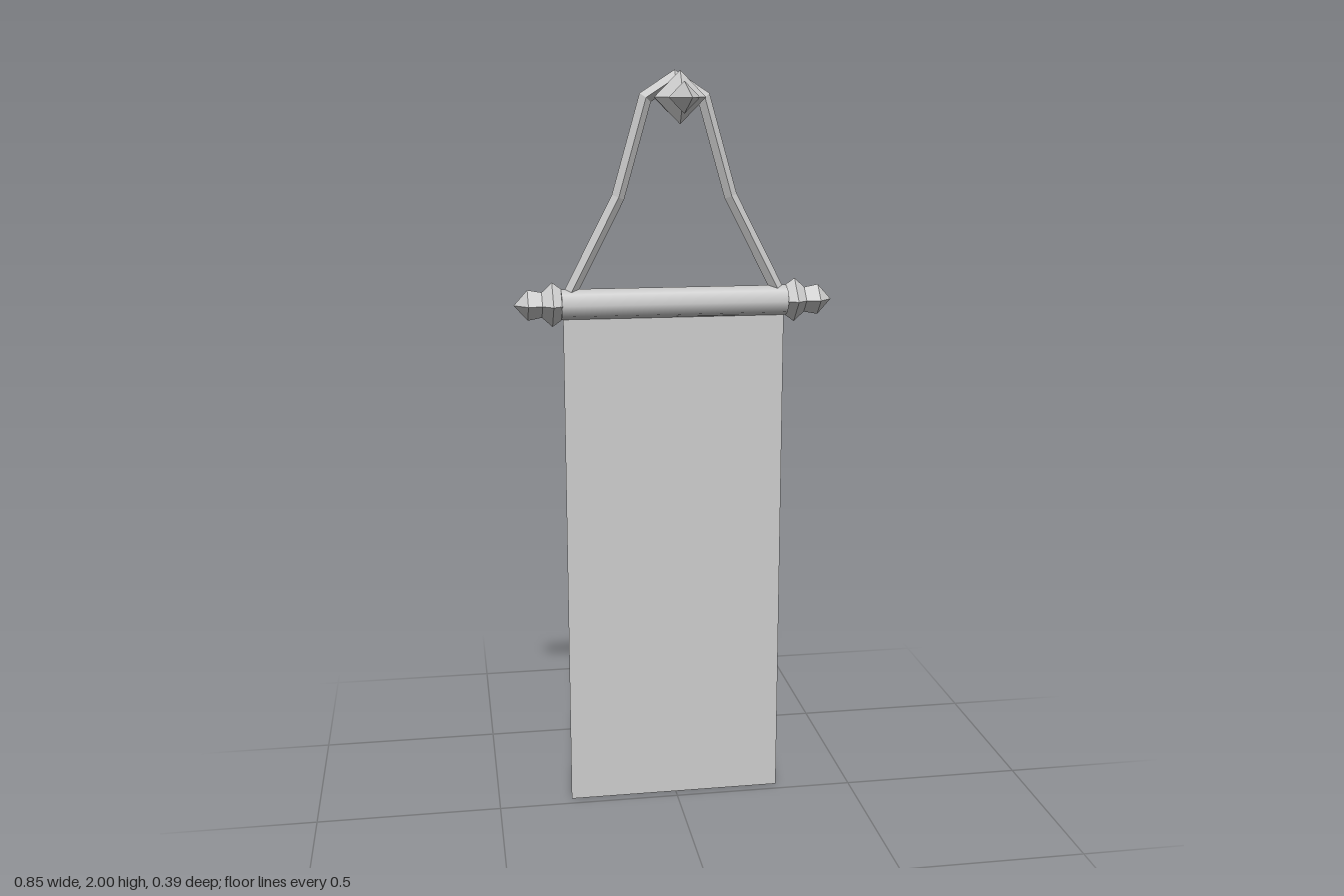
import * as THREE from 'three';

const flat = new THREE.MeshStandardMaterial({ color: 0xcccccc, flatShading: true });
const smooth = new THREE.MeshStandardMaterial({ color: 0xcccccc });
const cloth = new THREE.MeshStandardMaterial({ color: 0xcccccc, side: THREE.DoubleSide });

const ROD_Y = 1.405, ROD_Z = -0.028, MID_X = -0.003;

function part(name, geometry, material, x = 0, y = 0, z = 0) {
  const mesh = new THREE.Mesh(geometry, material);
  mesh.name = name;
  mesh.position.set(x, y, z);
  return mesh;
}

// Four-sided turned shape from [radius, height] pairs
function turned(profile) {
  return new THREE.LatheGeometry(profile.map(([r, h]) => new THREE.Vector2(r, h)), 4);
}

// Diamond-section cord with mitred joints along a path in the XY plane
function cordGeometry(path, r) {
  const pts = path.map(([x, y]) => new THREE.Vector2(x, y));
  const positions = [], index = [];
  pts.forEach((p, i) => {
    const a = pts[Math.max(i - 1, 0)], b = pts[Math.min(i + 1, pts.length - 1)];
    const before = (i ? p.clone().sub(a) : b.clone().sub(p)).normalize();
    const after = (i < pts.length - 1 ? b.clone().sub(p) : before.clone()).normalize();
    const tangent = before.clone().add(after).normalize();
    const miter = r / tangent.dot(after);
    const nx = -tangent.y * miter, ny = tangent.x * miter;
    positions.push(p.x + nx, p.y + ny, 0, p.x, p.y, r, p.x - nx, p.y - ny, 0, p.x, p.y, -r);
    if (i === 0) return;
    for (let k = 0; k < 4; k++) {
      const c = (i - 1) * 4 + k, d = (i - 1) * 4 + (k + 1) % 4;
      index.push(c, d, d + 4, c, d + 4, c + 4);
    }
  });
  const e = (pts.length - 1) * 4;
  index.push(0, 2, 1, 0, 3, 2, e, e + 1, e + 2, e, e + 2, e + 3);
  const g = new THREE.BufferGeometry();
  g.setAttribute('position', new THREE.Float32BufferAttribute(positions, 3));
  g.setIndex(index);
  g.computeVertexNormals();
  return g;
}

export function createModel() {
  const model = new THREE.Group();
  model.name = 'hangingBanner';

  // Cloth hanging from the rod
  model.add(part('bannerCloth', new THREE.PlaneGeometry(0.59, ROD_Y), cloth, MID_X, ROD_Y / 2, ROD_Z));

  // Horizontal rod
  const rod = new THREE.CylinderGeometry(0.04, 0.04, 0.6, 8).rotateZ(Math.PI / 2);
  model.add(part('rod', rod, smooth, MID_X, ROD_Y, ROD_Z));

  // Pointed finials on both rod ends
  const finialProfile = [[0, 0.295], [0.038, 0.295], [0.058, 0.323], [0.033, 0.35], [0.04, 0.387], [0, 0.423]];
  for (const [name, s] of [['leftFinial', 1], ['rightFinial', -1]]) {
    const g = turned(finialProfile).rotateZ(-s * Math.PI / 2);
    model.add(part(name, g, flat, MID_X, ROD_Y, ROD_Z));
  }

  // Cord looped over the peg
  const half = [[0.283, 1.42], [0.148, 1.68], [0.076, 1.93]];
  const path = [...half, [0, 1.979], ...half.map(([x, y]) => [-x, y]).reverse()];
  model.add(part('cord', cordGeometry(path, 0.017), flat, MID_X, 0, ROD_Z));

  // Wall peg with collar and spike, pointing forward
  const pegParts = {
    pegShaft: [[0, -0.197], [0.04, -0.197], [0.04, 0], [0, 0]],
    pegCollar: [[0, -0.012], [0.05, -0.012], [0.067, 0.005], [0.033, 0.031], [0, 0.031]],
    pegSpike: [[0, 0.03], [0.031, 0.03], [0.04, 0.07], [0, 0.194]],
  };
  for (const [name, profile] of Object.entries(pegParts)) {
    model.add(part(name, turned(profile).rotateX(Math.PI / 2), flat, 0.006, 1.931, 0));
  }

  return model;
}
